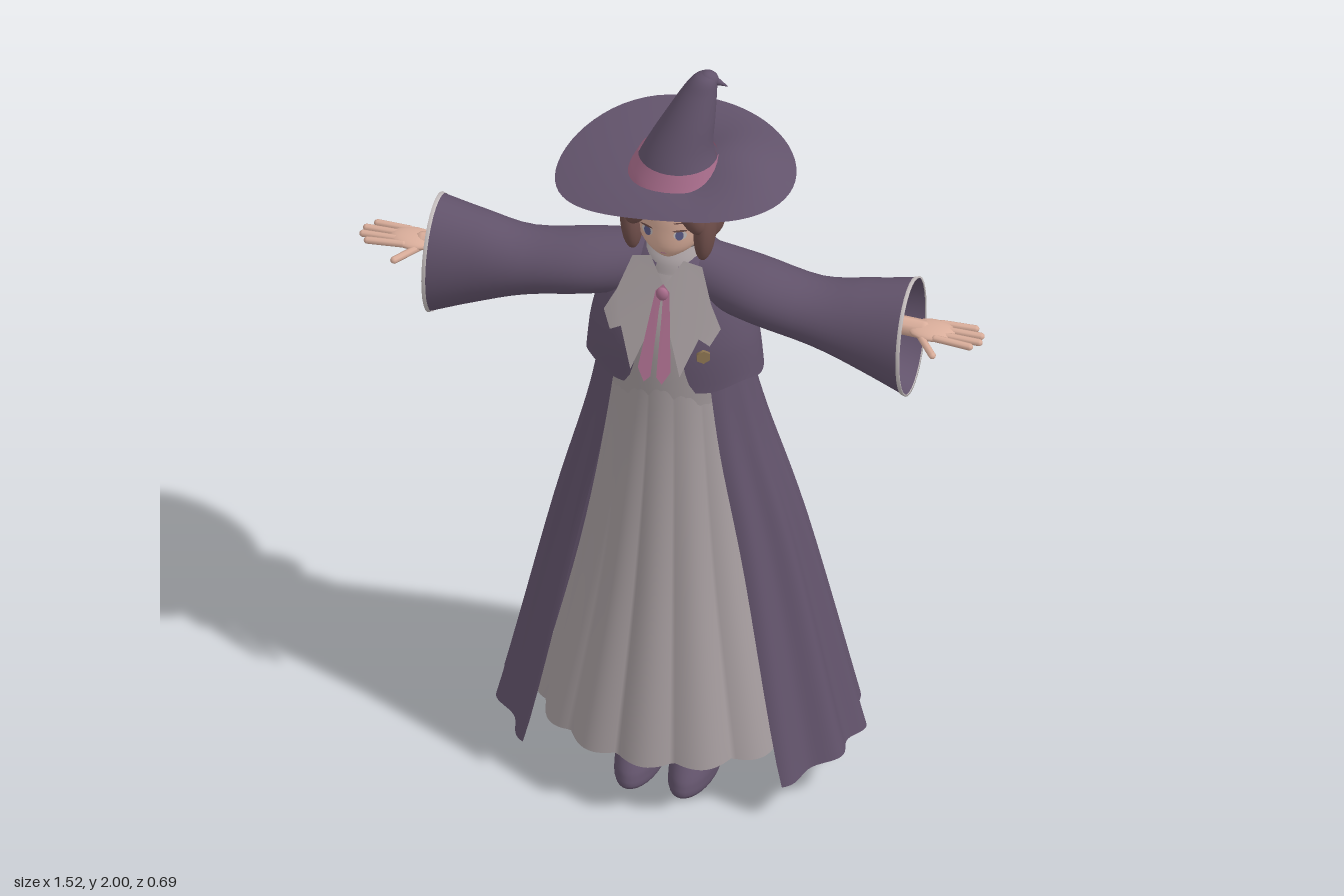
import * as THREE from 'three';
import { ParametricGeometry } from 'three/addons/geometries/ParametricGeometry.js';

const paint = (name, color) => {
  const m = new THREE.MeshStandardMaterial({ color, side: THREE.DoubleSide });
  m.name = name;
  return m;
};

// Smooth value of every column of a table of rows at t (0..1)
function sample(rows, t) {
  const n = rows.length - 1, f = Math.min(t * n, n), i = Math.min(Math.floor(f), n - 1), k = f - i;
  const a = rows[Math.max(i - 1, 0)], b = rows[i], c = rows[i + 1], d = rows[Math.min(i + 2, n)];
  return b.map((_, j) => {
    const m0 = (c[j] - a[j]) / 2, m1 = (d[j] - b[j]) / 2, k2 = k * k, k3 = k2 * k;
    return (2 * k3 - 3 * k2 + 1) * b[j] + (k3 - 2 * k2 + k) * m0 + (3 * k2 - 2 * k3) * c[j] + (k3 - k2) * m1;
  });
}

// Elliptical rings [y, centreX, centreZ, radiusX, radiusZ], bottom to top.
// gap(t) opens the front by that angle on each side; warp(p, angle, t) adds folds.
function loft(rows, { gap = () => 0, warp, slices = 32, steps = 4 } = {}) {
  return new ParametricGeometry((u, v, p) => {
    const [y, cx, cz, rx, rz] = sample(rows, v);
    const g = gap(v), a = g + u * (2 * Math.PI - 2 * g);
    p.set(cx + rx * Math.sin(a), y, cz + rz * Math.cos(a));
    if (warp) warp(p, a, v);
  }, slices, (rows.length - 1) * steps);
}

export function createModel() {
  const model = new THREE.Group();
  model.name = 'witch';
  const purple = paint('purple cloth', 0x62536b), grey = paint('grey cloth', 0xa59c9e);
  const pale = paint('pale trim', 0xc6bfbf), skin = paint('skin', 0xdaae9b);
  const brown = paint('brown hair', 0x704f4b), pink = paint('pink ribbon', 0xa96d8c);
  const blue = paint('blue eyes', 0x5c5c88), gold = paint('gold badge', 0x8d7552);

  function add(name, geometry, material, x = 0, y = 0, z = 0) {
    const m = new THREE.Mesh(geometry, material);
    m.name = name;
    m.position.set(x, y, z);
    model.add(m);
    return m;
  }
  // Rounded rod between two points
  function rod(name, a, b, r, material) {
    const A = new THREE.Vector3(...a), B = new THREE.Vector3(...b), d = B.clone().sub(A);
    const m = add(name, new THREE.CapsuleGeometry(r, d.length(), 4, 8), material, ...A.add(B).multiplyScalar(0.5));
    m.quaternion.setFromUnitVectors(new THREE.Vector3(0, 1, 0), d.normalize());
  }
  function ball(name, material, pos, size, tilt = 0) {
    const m = add(name, new THREE.SphereGeometry(1, 16, 12), material, ...pos);
    m.scale.set(...size);
    m.rotation.z = tilt;
  }
  // Flat cloth outline laid on the sloping chest
  function chestCloth(name, pts, lift, material) {
    const g = new THREE.ShapeGeometry(new THREE.Shape(pts.map(p => new THREE.Vector2(...p))));
    const p = g.attributes.position;
    for (let i = 0; i < p.count; i++)
      p.setZ(i, 0.218 - (p.getY(i) - 1.28) * 0.4 - p.getX(i) ** 2 + lift);
    g.computeVertexNormals();
    add(name, g, material);
  }

  // Skirt and open cloak, folds fading towards the waist
  add('skirt', loft([[0.165, 0, 0.04, 0.325, 0.29], [0.6, 0, 0.045, 0.225, 0.2], [1.0, 0, 0.05, 0.16, 0.138],
    [1.3, 0, 0.05, 0.13, 0.12]], {
    slices: 160, steps: 6, warp: (p, a, t) => {
      const w = (1.2 * Math.abs(Math.cos(7 * a)) - 0.75) * (1 - t) ** 1.5;
      p.x += Math.sin(a) * 0.014 * w;
      p.z += Math.cos(a) * 0.016 * w;
      p.y -= 0.008 * w * (1 - t) ** 4;
    }
  }), grey);
  add('cloak', loft([[0.092, 0, 0, 0.43, 0.345], [0.65, 0, 0.013, 0.308, 0.238], [1.0, 0, 0.04, 0.22, 0.175],
    [1.23, 0, 0.06, 0.175, 0.135]], {
    slices: 160, steps: 6, gap: t => 0.7 + 0.1 * (1 - t) ** 2, warp: (p, a, t) => {
      const w = Math.cos(15 * a) * (1 - t) ** 1.3, hem = (1 - t) ** 6, turn = Math.acos(Math.cos(a));
      p.x += Math.sin(a) * 0.013 * w;
      p.z += Math.cos(a) * 0.013 * w;
      p.y += hem * (0.008 * Math.cos(8 * a) + 0.03 * Math.exp(-(((turn - 1.2) / 0.25) ** 2)));
    }
  }), purple);

  // Shirt and short jacket
  add('shirt', loft([[1.1, 0, 0.05, 0.15, 0.125], [1.3, 0, 0.052, 0.16, 0.125], [1.42, 0, 0.045, 0.13, 0.1],
    [1.5, 0, 0.04, 0.07, 0.07]]), grey);
  add('jacket', loft([[1.185, 0, 0.055, 0.213, 0.143], [1.3, 0, 0.055, 0.2, 0.138], [1.4, 0, 0.05, 0.17, 0.115],
    [1.48, 0, 0.04, 0.115, 0.09], [1.515, 0, 0.035, 0.07, 0.065]], {
    slices: 64, gap: t => 0.26 + 0.16 * (1 - t) ** 9, warp: (p, a, t) => { p.y += 0.008 * Math.cos(6 * a) * (1 - t) ** 4; }
  }), purple);

  // Collar, ribbon and badge
  add('collarStand', loft([[1.47, 0, 0.045, 0.085, 0.085], [1.5, 0, 0.045, 0.078, 0.075], [1.525, 0, 0.045, 0.06, 0.055]]), grey);
  add('backCollar', loft([[1.37, 0, 0.02, 0.15, 0.135], [1.43, 0, 0.025, 0.13, 0.105], [1.51, 0, 0.04, 0.075, 0.075]],
    { gap: () => 2.2, warp: (p, a, t) => { p.y += 0.05 * (a - Math.PI) ** 2 * (1 - t); } }), grey);
  for (const s of [-1, 1]) {
    chestCloth('frontCollar', [[0, 1.45], [0.04, 1.515], [0.085, 1.505], [0.115, 1.42], [0.143, 1.365], [0.122, 1.325],
      [0.095, 1.34], [0.06, 1.25], [0.02, 1.36]].map(([x, y]) => [x * s, y]), 0, grey);
    chestCloth('ribbonTail', [[0, 1.462], [0.017, 1.445], [0.028, 1.36], [0.04, 1.265], [0.022, 1.235], [0.007, 1.25],
      [0.004, 1.4]].map(([x, y]) => [x * s, y]), 0.01, pink);
  }
  ball('ribbonKnot', pink, [0, 1.44, 0.165], [0.015, 0.018, 0.01]);
  const badge = add('badge', new THREE.CylinderGeometry(0.018, 0.018, 0.008, 6), gold, 0.105, 1.287, 0.18);
  badge.rotation.set(Math.PI / 2, 0, -0.45);

  // Sleeves, arms, hands, boots and legs
  for (const s of [-1, 1]) {
    const side = s > 0 ? 'left' : 'right';
    // Sideways loft: rows [distance from centre, y, z, half height, half depth]
    const sideways = (rows, opt) =>
      loft(rows.map(([x, y, z, h, d]) => [x, -s * y, z, h, d]), opt).rotateZ(-s * Math.PI / 2);
    add(side + 'Sleeve', sideways([[0.07, 1.44, 0.045, 0.075, 0.075], [0.2, 1.425, 0.065, 0.077, 0.09],
      [0.35, 1.4, 0.075, 0.083, 0.085], [0.47, 1.382, 0.07, 0.118, 0.097], [0.58, 1.365, 0.065, 0.154, 0.115]]), purple);
    add(side + 'Cuff', sideways([[0.574, 1.365, 0.065, 0.154, 0.116], [0.583, 1.365, 0.065, 0.157, 0.118],
      [0.583, 1.365, 0.065, 0.152, 0.113]], { steps: 1 }), pale);
    rod(side + 'Arm', [s * 0.2, 1.415, 0.07], [s * 0.61, 1.4, 0.075], 0.023, skin);
    ball(side + 'Palm', skin, [s * 0.633, 1.403, 0.077], [0.058, 0.015, 0.04]);
    [[0.048, 0.042, 0.73], [0.069, 0.066, 0.75], [0.09, 0.09, 0.752], [0.107, 0.112, 0.735]].forEach(([z0, z1, x]) =>
      rod(side + 'Finger', [s * 0.65, 1.405, z0], [s * x, 1.402, z1], 0.0088, skin));
    rod(side + 'Thumb', [s * 0.61, 1.4, 0.1], [s * 0.657, 1.393, 0.157], 0.009, skin);

    add(side + 'Boot', loft([[0, s * 0.065, 0.1, 0.002, 0.002], [0.001, s * 0.065, 0.105, 0.05, 0.12],
      [0.035, s * 0.066, 0.105, 0.057, 0.127], [0.08, s * 0.066, 0.085, 0.054, 0.103], [0.13, s * 0.064, 0.052, 0.047, 0.068],
      [0.25, s * 0.064, 0.045, 0.05, 0.057], [0.42, s * 0.066, 0.045, 0.055, 0.06]]), purple);
    rod(side + 'Leg', [s * 0.066, 0.35, 0.045], [s * 0.07, 1.0, 0.045], 0.045, skin);
  }

  // Neck, head and face
  add('neck', new THREE.CylinderGeometry(0.032, 0.038, 0.12, 16), skin, 0, 1.51, 0.05);
  add('head', loft([[1.522, 0, 0.11, 0.002, 0.002], [1.53, 0, 0.105, 0.026, 0.03], [1.56, 0, 0.085, 0.067, 0.066],
    [1.61, 0, 0.07, 0.09, 0.084], [1.67, 0, 0.06, 0.095, 0.092], [1.73, 0, 0.06, 0.07, 0.07]]), skin);
  const disc = (name, x, y, z, w, h, material) => {
    const m = add(name, new THREE.CircleGeometry(1, 16), material, x, y, z);
    m.scale.set(w, h, 1);
    m.rotation.y = x * 10;
  };
  for (const s of [-1, 1]) {
    disc('eyeWhite', s * 0.04, 1.613, 0.151, 0.016, 0.014, pale);
    disc('iris', s * 0.039, 1.613, 0.154, 0.01, 0.014, blue);
    disc('lash', s * 0.041, 1.628, 0.155, 0.018, 0.003, brown);
    disc('brow', s * 0.04, 1.65, 0.154, 0.016, 0.002, brown);
  }
  disc('mouth', 0, 1.553, 0.153, 0.008, 0.0015, pink);

  // Hair: open shell, parted fringe, side locks and ridged bun
  add('hair', loft([[1.535, 0, 0.04, 0.075, 0.06], [1.58, 0, 0.05, 0.115, 0.1], [1.65, 0, 0.055, 0.122, 0.114],
    [1.71, 0, 0.055, 0.112, 0.112], [1.75, 0, 0.055, 0.08, 0.08]], {
    slices: 48, gap: t => 0.68 * (1 - THREE.MathUtils.smoothstep(t, 0.42, 0.68))
  }), brown);
  for (const s of [-1, 1]) {
    ball('sideLock', brown, [s * 0.09, 1.612, 0.112], [0.026, 0.088, 0.04], s * -0.06);
    ball('fringe', brown, [s * 0.064, 1.672, 0.14], [0.03, 0.058, 0.026], s * 0.4);
  }
  ball('fringeSweep', brown, [0.018, 1.692, 0.155], [0.05, 0.03, 0.016], 0.45);
  add('bun', loft([[1.513, 0, -0.06, 0.003, 0.003], [1.53, 0, -0.06, 0.04, 0.037], [1.575, 0, -0.06, 0.06, 0.055],
    [1.62, 0, -0.06, 0.042, 0.038], [1.64, 0, -0.058, 0.003, 0.003]], {
    slices: 80, warp: (p, a) => {
      const k = 1 + 0.06 * Math.cos(12 * a);
      p.x *= k;
      p.z = -0.06 + (p.z + 0.06) * k;
    }
  }), brown);

  // Hat: bent crown, curled tip, band and wavy brim
  add('hatCrown', loft([[1.725, 0, 0.05, 0.105, 0.099], [1.8, 0.008, 0.045, 0.08, 0.078], [1.88, 0.03, 0.033, 0.06, 0.058],
    [1.95, 0.05, 0.02, 0.041, 0.038], [1.985, 0.062, 0.013, 0.027, 0.026], [1.999, 0.068, 0.01, 0.004, 0.004]]), purple);
  const tip = add('hatTip', new THREE.ConeGeometry(0.018, 0.058, 16), purple, 0.089, 1.972, 0.006);
  tip.rotation.z = -1.9;
  ball('hatCurl', purple, [0.068, 1.977, 0.01], [0.025, 0.0225, 0.024]);
  add('hatBand', loft([[1.716, 0, 0.05, 0.114, 0.111], [1.738, 0, 0.05, 0.107, 0.102], [1.775, 0.005, 0.047, 0.094, 0.091]]), pink);
  add('hatBrim', new ParametricGeometry((u, v, p) => {
    const a = u * Math.PI * 2, r = 1 - v * 0.66, x = Math.sin(a), z = Math.cos(a), swing = Math.sin(a - 0.35);
    const lift = swing < 0 ? -0.048 * r * r : 0.055 * Math.sin(Math.PI * r * 0.9) - 0.01 * r;
    p.set(0.287 * r * x, 1.728 + 0.032 * r * r * z * z + lift * swing * swing, 0.05 + 0.24 * r * z);
  }, 64, 12), purple);

  return model;
}
